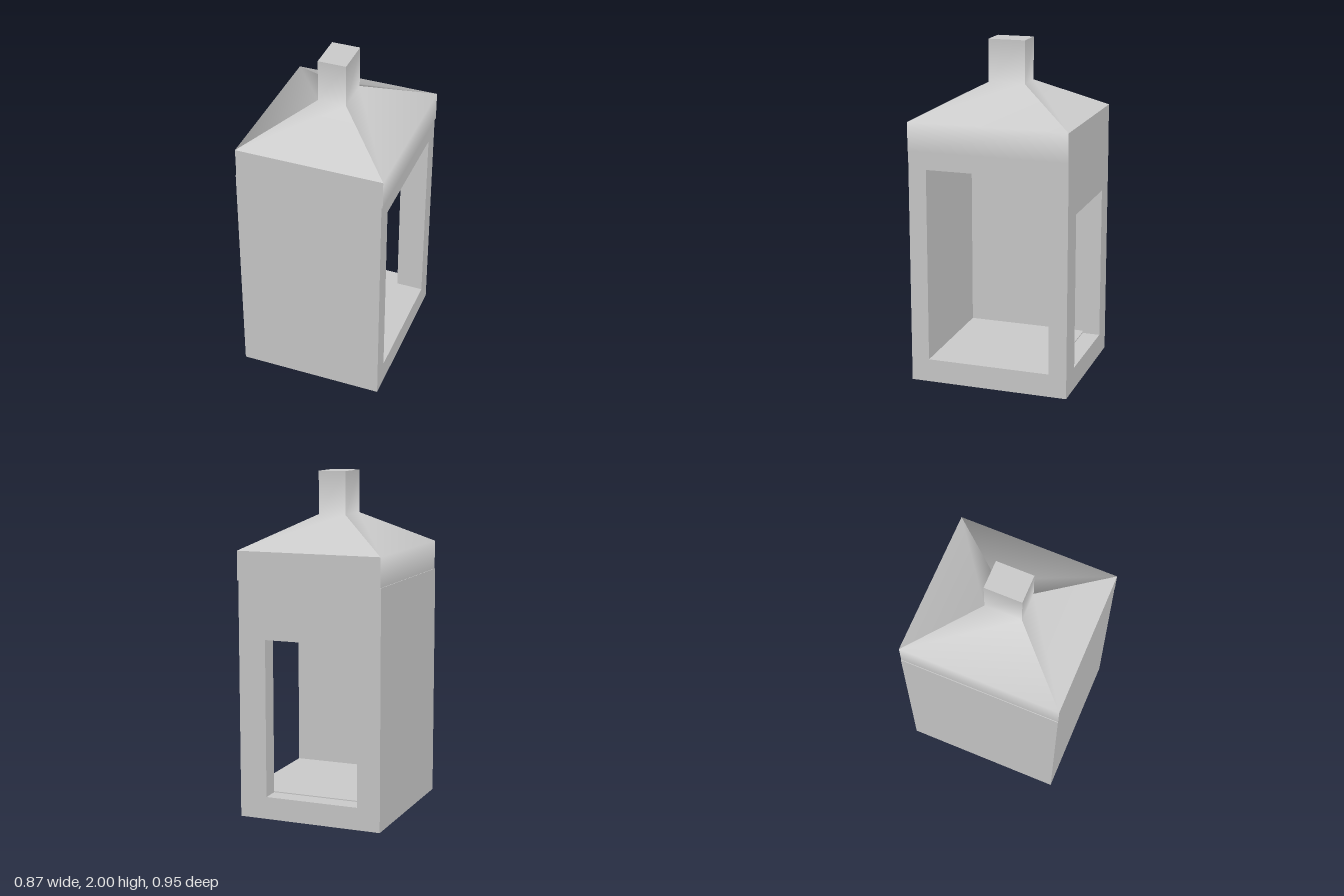
import * as THREE from 'three';

const mat = new THREE.MeshStandardMaterial({ color: 0xcccccc });

// Outer limits, and the cavity that opens to the left (+x)
const X0 = -0.437, X1 = 0.428, Z = 0.475, TOP = 1.39;
const WALL = -0.323, FLOOR = 0.138, CEIL = 1.288, IN = 0.368;

function add(group, name, geometry) {
  const mesh = new THREE.Mesh(geometry, mat);
  mesh.name = name;
  group.add(mesh);
  return mesh;
}

function box(x0, x1, y0, y1, z0, z1) {
  return new THREE.BoxGeometry(x1 - x0, y1 - y0, z1 - z0)
    .translate((x0 + x1) / 2, (y0 + y1) / 2, (z0 + z1) / 2);
}

function outline(points, Type = THREE.Shape) {
  return new Type(points.map(([x, y]) => new THREE.Vector2(x, y)));
}

function extrude(shape, z0, z1) {
  return new THREE.ExtrudeGeometry(shape, { depth: z1 - z0, bevelEnabled: false }).translate(0, 0, z0);
}

// Smooth strip through rectangular rings [halfX, halfZ, y], between two corners
function strip(rings, [a, b]) {
  const pos = [], index = [];
  rings.forEach(([hx, hz, y], i) => {
    pos.push(a[0] * hx, y, a[1] * hz, b[0] * hx, y, b[1] * hz);
    if (i) {
      const k = 2 * i - 2;
      index.push(k, k + 1, k + 3, k, k + 3, k + 2);
    }
  });
  const g = new THREE.BufferGeometry();
  g.setAttribute('position', new THREE.Float32BufferAttribute(pos, 3));
  g.setIndex(index);
  g.computeVertexNormals();
  return g;
}

function createRoof() {
  const roof = new THREE.Group();
  roof.name = 'roof';
  const rings = [[0.434, Z, TOP], [0.434, Z, 1.56], [0.083, 0.11, 1.75], [0.083, 0.11, 2]];
  const corners = [[-1, 1], [1, 1], [1, -1], [-1, -1]];
  corners.forEach((a, i) => {
    const pair = [a, corners[(i + 1) % 4]];
    if (i % 2) {
      // skirt flows smoothly into the slope on the two sides
      add(roof, 'roofSide', strip(rings, pair));
    } else {
      // hard edge over the skirt at front and back
      add(roof, 'roofSkirt', strip(rings.slice(0, 2), pair));
      add(roof, 'roofSlope', strip(rings.slice(1), pair));
    }
  });
  add(roof, 'chimneyCap', new THREE.PlaneGeometry(0.166, 0.22).rotateX(-Math.PI / 2).translate(0, 2, 0));
  add(roof, 'roofUnderside', new THREE.PlaneGeometry(0.868, 2 * Z).rotateX(Math.PI / 2).translate(0, TOP, 0));
  roof.position.x = 0.001;
  return roof;
}

export function createModel() {
  const model = new THREE.Group();
  model.name = 'booth';

  // floor, closed side wall and ceiling as one C-shaped section
  add(model, 'floorWallCeiling', extrude(outline([
    [X0, 0], [X1, 0], [X1, FLOOR], [WALL, FLOOR],
    [WALL, CEIL], [X1, CEIL], [X1, TOP], [X0, TOP],
  ]), -IN, IN));

  add(model, 'frontWall', box(X0, X1, 0, TOP, IN, Z));

  // back wall with its opening
  const back = outline([[X0, 0], [X1, 0], [X1, TOP], [X0, TOP]]);
  back.holes.push(outline([[-0.3, 0.132], [-0.3, 1.057], [0.264, 1.057], [0.264, 0.132]], THREE.Path));
  add(model, 'backWall', extrude(back, -Z, -IN));

  // small block on the inside of the closed side wall
  add(model, 'wallHandle', box(WALL, -0.29, 0.51, 0.735, -0.285, -0.2));

  model.add(createRoof());
  return model;
}
